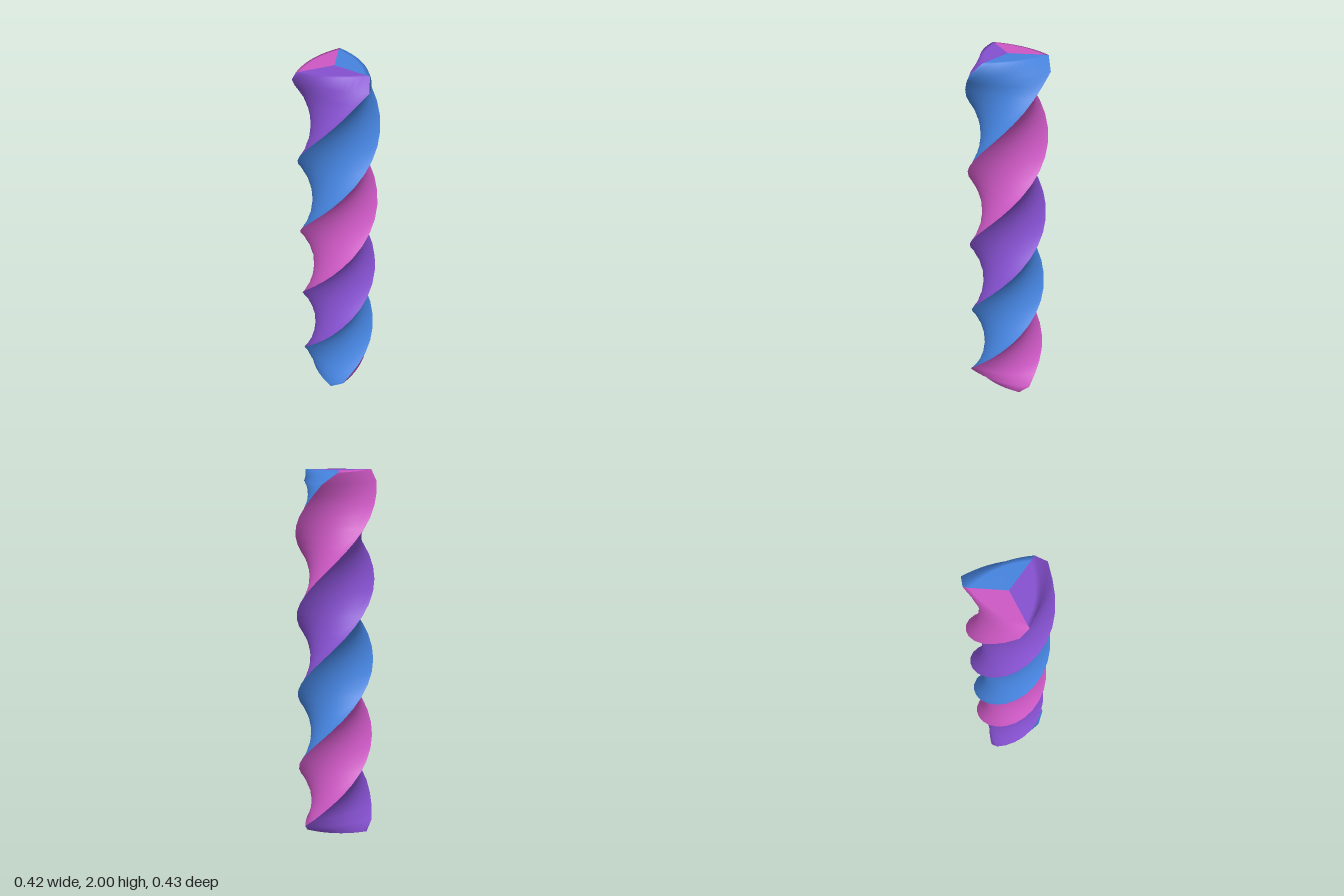
import * as THREE from 'three';

const RADIUS = 0.207;      // axis to ridge
const BULGE = 0.137;       // axis to middle of a side
const TURN = 1.328;        // height of one full twist
const ROWS = 36, SEGS = 12;

function material(name, color) {
  const m = new THREE.MeshStandardMaterial({ color });
  m.name = name;
  return m;
}

// Rows from bottom centre, over the flared rim, up the shaft, to top centre: [scale, y, x shift]
function sectionRows() {
  const bottom = [[0, 0, -0.015], [0.6, 0, -0.015], [0.82, 0, -0.015], [0.95, 0, -0.012]];
  const shaft = [];
  for (let j = 1; j < ROWS; j++) {
    const edge = Math.min(j, ROWS - j);
    const scale = edge === 1 ? 1.075 : edge === 2 ? 1.02 : 1;
    shaft.push([scale, (2 * j) / ROWS, edge === 1 ? 0.006 : 0.003]);
  }
  const top = bottom.map(([s, y, x]) => [s, 2 - y, x]).reverse();
  return [...bottom, ...shaft, ...top];
}

// One bulged side of the twisted triangle, with its third of both end caps
function twistedSide(startAngle) {
  const rows = sectionRows();
  const pos = [], index = [];
  const half = RADIUS * Math.sin(Math.PI / 3);
  const sag = BULGE - RADIUS / 2;
  for (const [scale, y, shift] of rows) {
    const mid = -((y - 0.78) / TURN) * Math.PI * 2 + startAngle + Math.PI / 3;
    const c = Math.cos(mid), s = Math.sin(mid);
    for (let i = 0; i <= SEGS; i++) {
      const t = (2 * i) / SEGS - 1;
      const out = scale * (BULGE - sag * t * t);
      const along = scale * half * t;
      pos.push(out * c - along * s + shift, y, out * s + along * c);
    }
  }
  const w = SEGS + 1;
  for (let j = 0; j < rows.length - 1; j++) {
    for (let i = 0; i < SEGS; i++) {
      const a = j * w + i, b = a + 1, up = a + w, upB = up + 1;
      index.push(a, up, b, up, upB, b);
    }
  }
  const geo = new THREE.BufferGeometry();
  geo.setAttribute('position', new THREE.Float32BufferAttribute(pos, 3));
  geo.setIndex(index);
  geo.computeVertexNormals();
  return geo;
}

export function createModel() {
  const model = new THREE.Group();
  model.name = 'twistedColumn';
  const third = (Math.PI * 2) / 3;
  const sides = [
    ['blueSide', material('blue', 0x4583de), -third],
    ['purpleSide', material('purple', 0x8550cf), 0],
    ['pinkSide', material('pink', 0xcd58c4), third],
  ];
  for (const [name, mat, angle] of sides) {
    const mesh = new THREE.Mesh(twistedSide(angle), mat);
    mesh.name = name;
    model.add(mesh);
  }
  return model;
}
